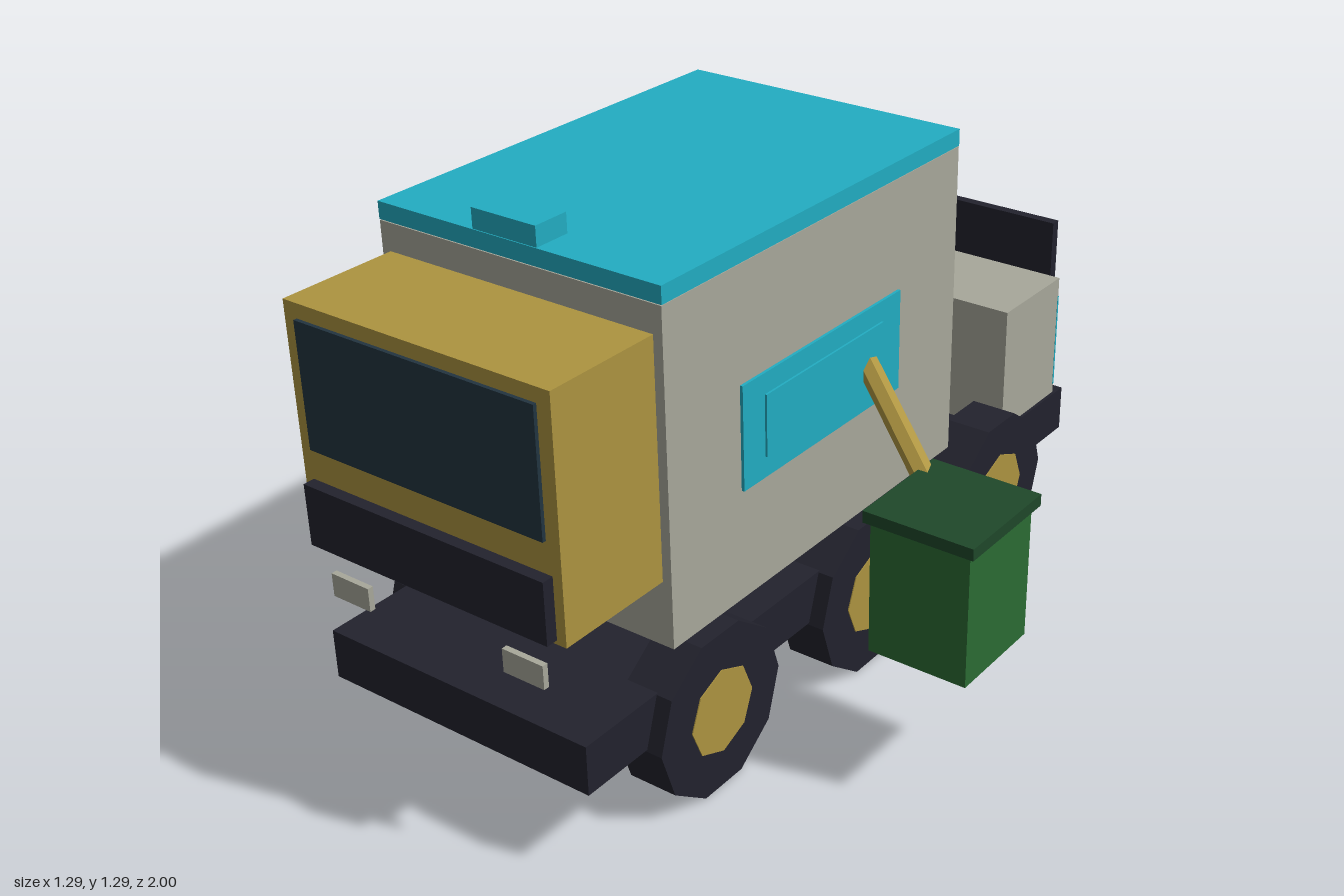
import * as THREE from 'three';

const paint = (name, color) => {
  const m = new THREE.MeshStandardMaterial({ color });
  m.name = name;
  return m;
};

export function createModel() {
  const grey = paint('body grey', 0xa8a89b);
  const cyan = paint('trim cyan', 0x22adc2);
  const gold = paint('cab gold', 0xad9440);
  const dark = paint('chassis dark', 0x22222d);
  const glass = paint('window glass', 0x223440);
  const green = paint('bin green', 0x2b6b33);
  const lidGreen = paint('lid green', 0x1f482a);

  const truck = new THREE.Group();
  truck.name = 'refuseTruck';
  const CX = -0.243; // centre line of the vehicle

  const add = (name, geometry, material, parent = truck) => {
    const mesh = new THREE.Mesh(geometry, material);
    mesh.name = name;
    parent.add(mesh);
    return mesh;
  };
  // box given by its extents along each axis
  const box = (name, material, [x0, x1], [y0, y1], [z0, z1], parent) => {
    const mesh = add(name, new THREE.BoxGeometry(x1 - x0, y1 - y0, z1 - z0), material, parent);
    mesh.position.set((x0 + x1) / 2, (y0 + y1) / 2, (z0 + z1) / 2);
    return mesh;
  };
  const wide = (half) => [CX - half, CX + half];

  // chassis and main body
  box('chassis', dark, wide(0.362), [0.2, 0.32], [-1, 0.947]);
  box('cargoBody', grey, wide(0.375), [0.41, 1.187], [-0.394, 0.678]);
  box('roof', cyan, wide(0.376), [1.189, 1.229], [-0.394, 0.678]);
  box('beacon', cyan, wide(0.085), [1.243, 1.289], [0.61, 0.7]);

  // cab
  box('cab', gold, wide(0.352), [0.566, 1.122], [0.678, 0.972]);
  box('windscreen', glass, wide(0.317), [0.796, 1.088], [0.972, 0.981]);
  box('grille', dark, wide(0.328), [0.576, 0.721], [0.972, 1]);

  // rear hopper and its tailgate
  box('hopper', grey, wide(0.354), [0.32, 0.652], [-0.964, -0.696]);
  box('tailgate', dark, wide(0.327), [0.554, 0.798], [-0.99, -0.964]);

  // parts repeated on both sides
  for (const side of [-1, 1]) {
    const across = (a, b) => [CX + side * a, CX + side * b].sort((p, q) => p - q);
    box('headlight', grey, across(0.188, 0.296), [0.453, 0.509], [0.97, 0.984]);
    box('sidePanel', cyan, across(0.375, 0.382), [0.675, 0.921], [-0.15, 0.439]);
    box('sidePanelInset', cyan, across(0.382, 0.387), [0.725, 0.872], [-0.075, 0.364]);
    box('rearStrip', cyan, across(0.346, 0.3545), [0.345, 0.6], [-0.966, -0.96]);

    // ten-sided tyres with eight-sided hubs
    for (const z of [0.557, -0.027, -0.61]) {
      const wheel = new THREE.Group();
      wheel.name = 'wheel';
      wheel.position.set(CX + side * 0.341, 0.196, z);
      wheel.rotation.z = Math.PI / 2;
      truck.add(wheel);
      add('tyre', new THREE.CylinderGeometry(0.206, 0.206, 0.121, 10).toNonIndexed(), dark, wheel);
      add('hub', new THREE.CylinderGeometry(0.105, 0.105, 0.126, 8).toNonIndexed(), gold, wheel);
      wheel.children.forEach((m) => facet(m));
    }
  }

  // lifting arm reaching to the bin
  const start = new THREE.Vector3(0.125, 0.786, -0.035);
  const end = new THREE.Vector3(0.44, 0.619, 0.162);
  const dir = end.clone().sub(start);
  const arm = add('liftArm', new THREE.CylinderGeometry(0.026, 0.026, dir.length(), 6).toNonIndexed(), gold);
  facet(arm);
  arm.position.copy(start).add(end).multiplyScalar(0.5);
  arm.quaternion.setFromUnitVectors(new THREE.Vector3(0, 1, 0), dir.normalize());

  // bin
  const bin = new THREE.Group();
  bin.name = 'bin';
  truck.add(bin);
  box('binBody', green, [0.39, 0.631], [0.322, 0.637], [0.094, 0.341], bin);
  box('binLid', lidGreen, [0.377, 0.644], [0.64, 0.668], [0.079, 0.352], bin);

  return truck;
}

// flat normals on an unindexed geometry
function facet(mesh) {
  mesh.geometry.computeVertexNormals();
}
